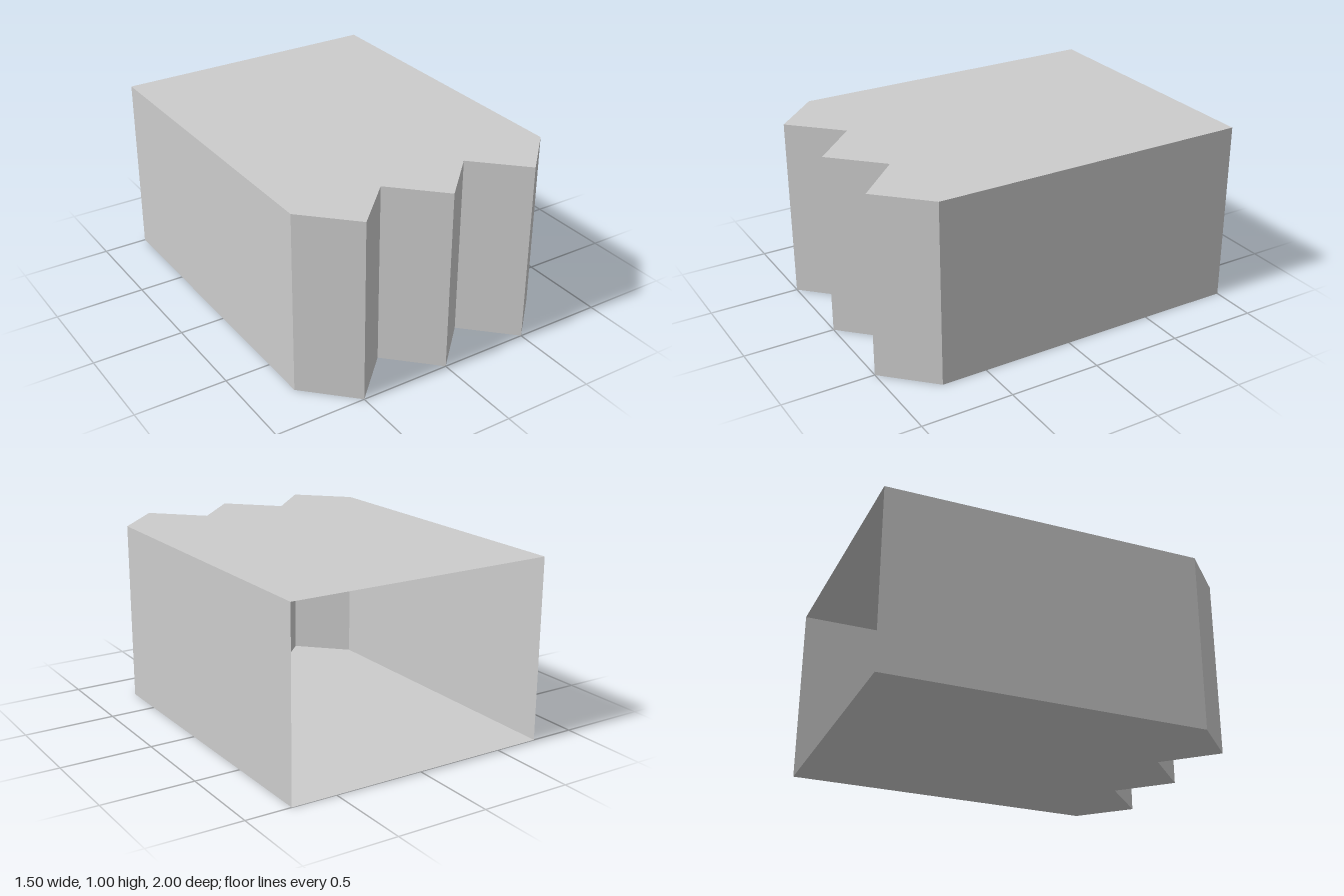
import * as THREE from 'three';

export function createModel() {
  const model = new THREE.Group();
  model.name = 'toothedShell';
  const grey = new THREE.MeshStandardMaterial({ color: 0xcccccc, side: THREE.DoubleSide });
  grey.name = 'light grey';

  const height = 1, halfWidth = 0.75, back = -1, valley = 0.75, tip = 1, teeth = 3;

  // Plan outline [x, z] from the back right corner, along the zigzag front, to the back left corner
  const outline = [[-halfWidth, back]];
  for (let i = 0; i <= teeth * 2; i++) {
    outline.push([-halfWidth + i * halfWidth / teeth, i % 2 ? tip : valley]);
  }
  outline.push([halfWidth, back]);

  const add = (geometry, name) => {
    const mesh = new THREE.Mesh(geometry, grey);
    mesh.name = name;
    model.add(mesh);
    return mesh;
  };

  // Flat roof and floor, facing outward
  const plan = (sign) => new THREE.ShapeGeometry(
    new THREE.Shape(outline.map(([x, z]) => new THREE.Vector2(x, sign * z))));
  add(plan(-1).rotateX(-Math.PI / 2), 'roof').position.y = height;
  add(plan(1).rotateX(Math.PI / 2), 'floor');

  // One upright panel per outline segment; the back stays open
  for (let i = 0; i < outline.length - 1; i++) {
    const [x0, z0] = outline[i], [x1, z1] = outline[i + 1];
    const name = i === 0 ? 'rightWall' : i === outline.length - 2 ? 'leftWall' : 'toothFace' + i;
    const wall = add(new THREE.PlaneGeometry(Math.hypot(x1 - x0, z1 - z0), height), name);
    wall.position.set((x0 + x1) / 2, height / 2, (z0 + z1) / 2);
    wall.rotation.y = Math.atan2(z0 - z1, x1 - x0);
  }
  return model;
}
